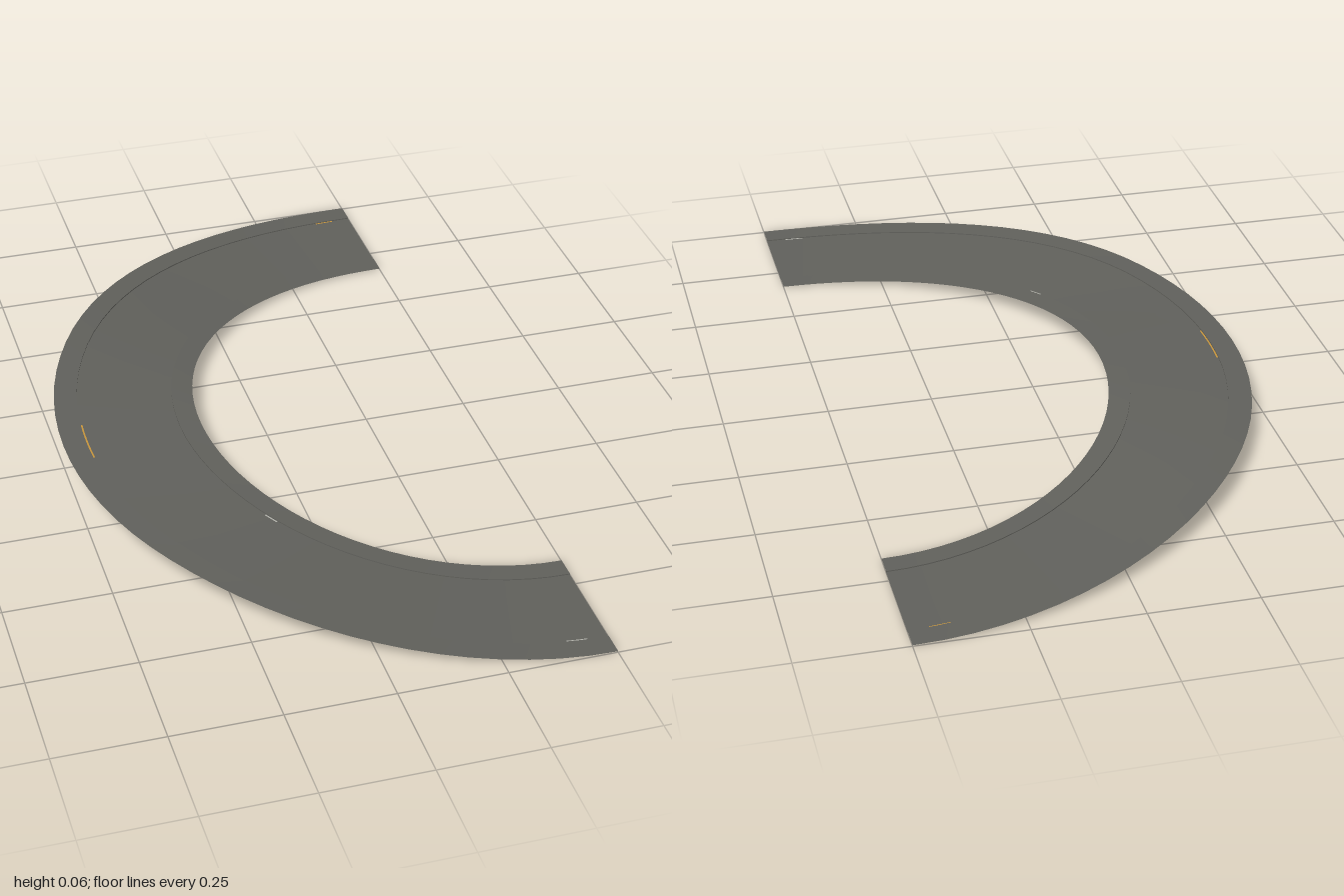
import * as THREE from 'three';

const CX = 0.5, R_IN = 0.664, R_OUT = 1;
const LANE_IN = 0.715, LANE_OUT = 0.945; // lane lies slightly below its shoulders
const RISE = 0.0625, STEP = 0.0025;

const flat = (name, color) => {
  const m = new THREE.MeshStandardMaterial({ color, side: THREE.DoubleSide });
  m.name = name;
  return m;
};

// Ramp height: eases up along the arc from each end to the middle
function height(r, a) {
  const arc = Math.min(a, Math.PI - a) * r;
  const k = (r - R_IN) / (R_OUT - R_IN);
  const s = THREE.MathUtils.clamp(arc / (1.043 + 0.05 * k), 0, 1);
  return RISE * s * s * (3 - 2 * s);
}

// Ribbon following the bend between two radii; a = 0 is the back end, PI the front
function ribbon(name, material, r0, y0, r1, y1, a0 = 0, a1 = Math.PI, segments = 48) {
  const pos = [], index = [];
  for (let i = 0; i <= segments; i++) {
    const a = a0 + (a1 - a0) * i / segments;
    for (const [r, y] of [[r0, y0], [r1, y1]]) {
      pos.push(CX - r * Math.sin(a), height(r, a) + y, -r * Math.cos(a));
    }
    if (i < segments) {
      const k = i * 2;
      index.push(k, k + 1, k + 2, k + 1, k + 3, k + 2);
    }
  }
  const g = new THREE.BufferGeometry();
  g.setAttribute('position', new THREE.Float32BufferAttribute(pos, 3));
  g.setIndex(index);
  g.computeVertexNormals();
  // keep the upper side as the front side
  if (g.attributes.normal.getY(0) < -0.01) {
    g.setIndex(index.slice().reverse());
    g.computeVertexNormals();
  }
  const mesh = new THREE.Mesh(g, material);
  mesh.name = name;
  return mesh;
}

export function createModel() {
  const model = new THREE.Group();
  model.name = 'curvedRoad';
  const asphalt = flat('asphalt', 0x61615c);
  const yellow = flat('yellowPaint', 0xc8963c);
  const white = flat('whitePaint', 0xb4b4ac);

  // Road surface
  model.add(
    ribbon('innerShoulder', asphalt, R_IN, STEP, LANE_IN, STEP),
    ribbon('innerStep', asphalt, LANE_IN, STEP, LANE_IN, 0),
    ribbon('lane', asphalt, LANE_IN, 0, LANE_OUT, 0),
    ribbon('outerStep', asphalt, LANE_OUT, 0, LANE_OUT, STEP),
    ribbon('outerShoulder', asphalt, LANE_OUT, STEP, R_OUT, STEP),
  );

  // Worn paint left along the lane edges
  const mid = Math.PI / 2, w = 0.004, lift = 0.0008;
  const dash = (name, mat, r, a0, a1) =>
    model.add(ribbon(name, mat, r, lift, r + w, lift, a0, a1, 6));
  dash('outerMiddleDash', yellow, LANE_OUT - w - 0.001, mid - 0.08, mid + 0.07);
  dash('outerBackDash', yellow, LANE_OUT - w - 0.001, 0.05, 0.1);
  dash('outerFrontDash', white, LANE_OUT - w - 0.001, Math.PI - 0.1, Math.PI - 0.05);
  dash('innerDash', white, LANE_IN + 0.001, mid + 0.55, mid + 0.6);
  return model;
}
